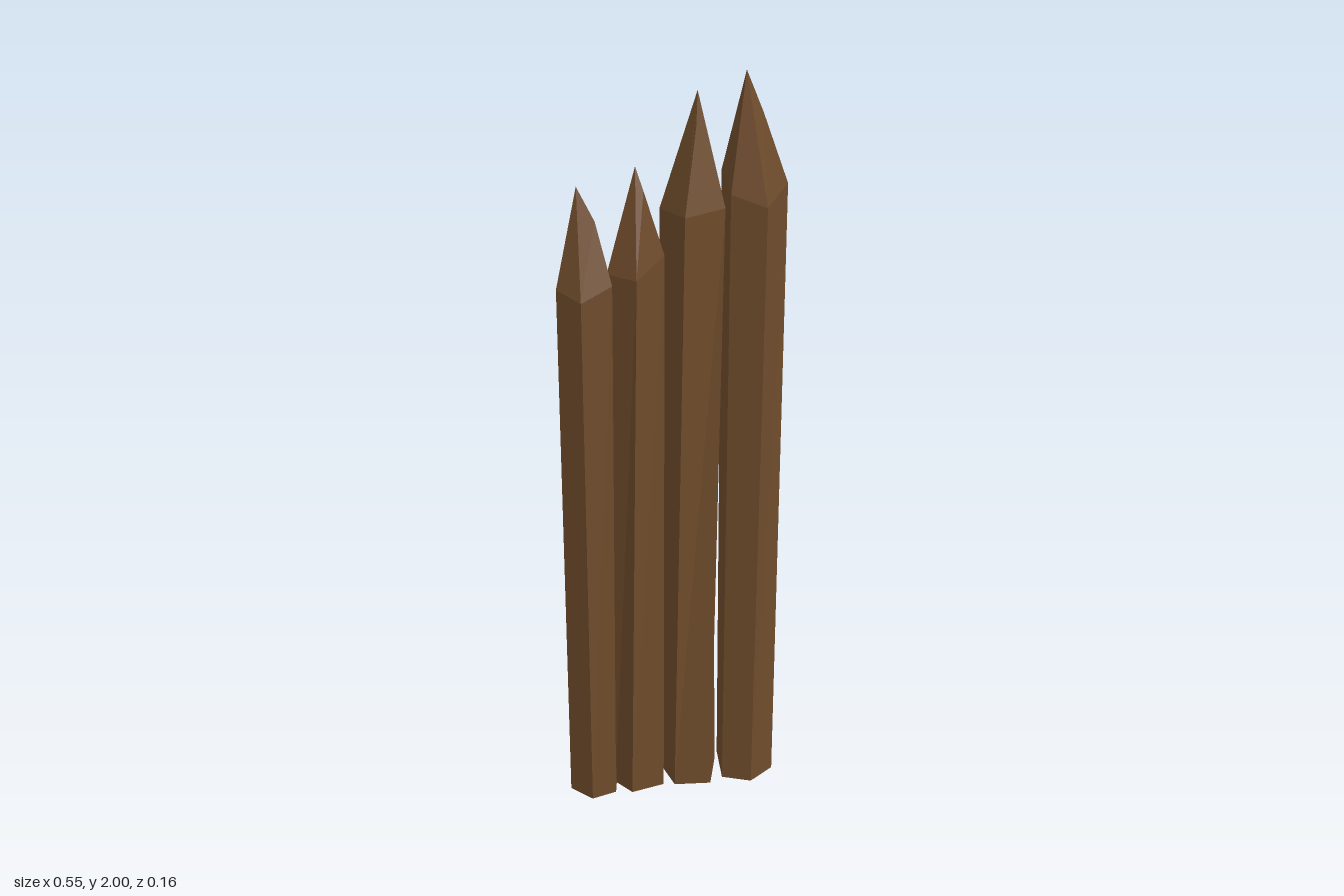
import * as THREE from 'three';

// Each stake: tip, a knot where one spoke of the carved point bends,
// and five [x, z] corners for the foot and five [x, y, z] for the shoulder.
const STAKES = [
  {
    tip: [-0.22, 1.745, -0.014], knot: [-0.18, 1.66, 0], spoke: 2,
    foot: [[-0.277, 0.014], [-0.227, 0.068], [-0.161, 0.052], [-0.143, -0.027], [-0.23, -0.071]],
    shoulder: [[-0.277, 1.5, 0.014], [-0.227, 1.485, 0.068], [-0.148, 1.51, 0.041], [-0.17, 1.53, -0.057], [-0.252, 1.53, -0.054]],
  },
  {
    tip: [-0.08, 1.78, -0.023], knot: [-0.064, 1.725, -0.005], spoke: 2,
    foot: [[-0.155, 0.01], [-0.118, 0.062], [-0.029, 0.045], [-0.027, -0.054], [-0.125, -0.063]],
    shoulder: [[-0.155, 1.525, 0.005], [-0.095, 1.53, 0.068], [-0.016, 1.56, 0.003], [-0.054, 1.57, -0.067], [-0.125, 1.55, -0.063]],
  },
  {
    tip: [0.066, 1.955, -0.023], knot: [0.057, 1.88, 0.008], spoke: 1,
    foot: [[-0.018, -0.023], [0, 0.052], [0.096, 0.064], [0.129, -0.036], [0.032, -0.082]],
    shoulder: [[-0.023, 1.67, -0.023], [0.02, 1.68, 0.066], [0.123, 1.68, 0.029], [0.111, 1.7, -0.061], [0.032, 1.73, -0.082]],
  },
  {
    tip: [0.177, 2, -0.011], knot: [0.217, 1.897, -0.005], spoke: 2,
    foot: [[0.132, 0.046], [0.205, 0.077], [0.273, 0.032], [0.25, -0.066], [0.141, -0.064]],
    shoulder: [[0.132, 1.72, 0.046], [0.212, 1.695, 0.079], [0.277, 1.72, 0.005], [0.209, 1.73, -0.079], [0.127, 1.75, -0.036]],
  },
];

function stakeGeometry({ tip, knot, spoke, foot, shoulder }) {
  const positions = [];
  const tri = (a, b, c) => {
    if (a !== b && b !== c && a !== c) positions.push(...a, ...b, ...c);
  };
  const base = foot.map(([x, z]) => [x, 0, z]);
  // Spokes run straight to the tip, except the one through the knot
  const upper = shoulder.map((_, i) => (i === spoke ? knot : tip));
  const rings = [base, shoulder, upper, shoulder.map(() => tip)];
  const n = base.length;

  for (let r = 0; r < rings.length - 1; r++) {
    for (let i = 0; i < n; i++) {
      const j = (i + 1) % n;
      const [low, high] = [rings[r], rings[r + 1]];
      tri(low[i], low[j], high[j]);
      tri(low[i], high[j], high[i]);
    }
  }
  // Flat underside
  for (let i = 1; i < n - 1; i++) tri(base[0], base[i + 1], base[i]);

  const geometry = new THREE.BufferGeometry();
  geometry.setAttribute('position', new THREE.Float32BufferAttribute(positions, 3));
  geometry.computeVertexNormals();
  return geometry;
}

export function createModel() {
  const wood = new THREE.MeshStandardMaterial({ color: 0x6e4b2b, flatShading: true });
  wood.name = 'brown wood';

  const fence = new THREE.Group();
  fence.name = 'palisade';
  STAKES.forEach((stake, i) => {
    const mesh = new THREE.Mesh(stakeGeometry(stake), wood);
    mesh.name = `stake${i + 1}`;
    fence.add(mesh);
  });
  return fence;
}
